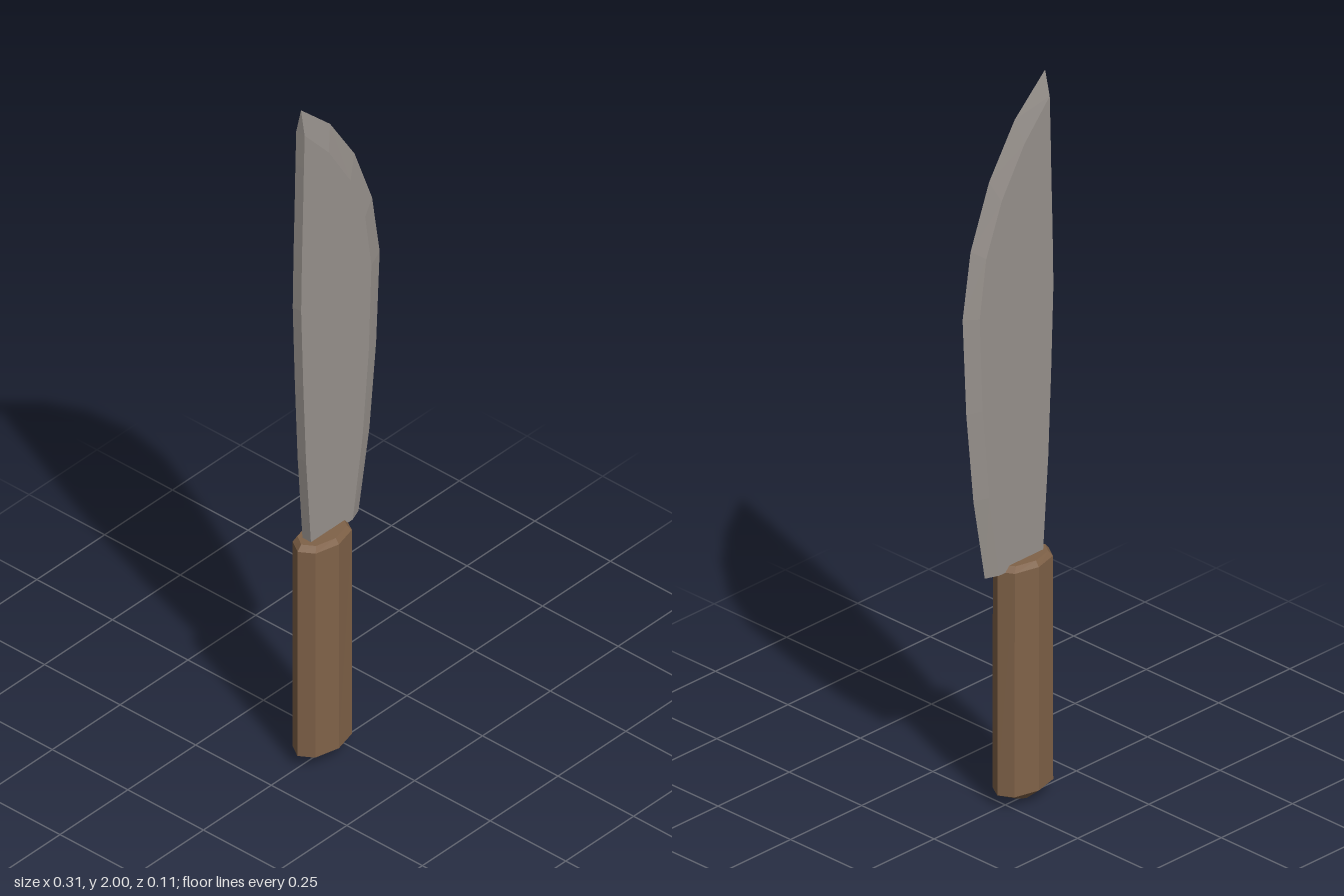
import * as THREE from 'three';

// Joins rings of [x, y, z] corners, listed from bottom to top, and caps both ends.
function loft(rings) {
  const n = rings[0].length;
  const index = [];
  for (let r = 0; r < rings.length - 1; r++) {
    for (let i = 0; i < n; i++) {
      const a = r * n + i;
      const b = r * n + (i + 1) % n;
      index.push(a, b, b + n, a, b + n, a + n);
    }
  }
  const top = (rings.length - 1) * n;
  for (let i = 1; i < n - 1; i++) {
    index.push(0, i + 1, i, top, top + i, top + i + 1);
  }
  const geometry = new THREE.BufferGeometry();
  geometry.setAttribute('position', new THREE.Float32BufferAttribute(rings.flat(2), 3));
  geometry.setIndex(index);
  const faceted = geometry.toNonIndexed();
  faceted.computeVertexNormals();
  return faceted;
}

export function createModel() {
  const steel = new THREE.MeshStandardMaterial({ color: 0x97918c });
  steel.name = 'steel grey';
  steel.flatShading = true;
  const wood = new THREE.MeshStandardMaterial({ color: 0x806248 });
  wood.name = 'wood brown';
  wood.flatShading = true;

  const model = new THREE.Group();
  model.name = 'knife';

  // Blade stations: spine, start of the bevel, cutting edge (x, y each)
  const stations = [
    [-0.115, 0.66, 0.038, 0.66, 0.075, 0.66],
    [-0.134, 0.93, 0.074, 0.89, 0.115, 0.89],
    [-0.144, 1.16, 0.097, 1.14, 0.14, 1.14],
    [-0.152, 1.4, 0.107, 1.4, 0.153, 1.41],
    [-0.149, 1.56, 0.084, 1.56, 0.125, 1.59],
    [-0.145, 1.7, 0.03, 1.7, 0.06, 1.76],
    [-0.142, 1.83, -0.05, 1.83, -0.03, 1.9],
    [-0.139, 1.93, -0.139, 1.93, -0.137, 2],
  ];
  const half = 0.014;
  const middle = -0.003;
  const blade = new THREE.Mesh(loft(stations.map(([sx, sy, bx, by, ex, ey]) => [
    [sx, sy, middle + half],
    [bx, by, middle + half],
    [ex, ey, middle],
    [bx, by, middle - half],
    [sx, sy, middle - half],
  ])), steel);
  blade.name = 'blade';
  model.add(blade);

  // Handle: eight-sided grip with a chamfered top and a tapered butt
  const section = [
    [-0.092, 0], [-0.068, 0.038], [0, 0.055], [0.068, 0.038],
    [0.09, 0], [0.068, -0.038], [0, -0.055], [-0.068, -0.038],
  ];
  const levels = [
    [0.005, 0.3, 0.22],
    [0.037, 1, 1],
    [0.66, 0.985, 1],
    [0.675, 0.84, 0.82],
  ];
  const handleRings = levels.map(([y, sx, sz]) =>
    section.map(([x, z]) => [-0.062 + x * sx, y, z * sz]));
  // The butt dips slightly along its middle
  for (const i of [2, 6]) handleRings[0][i][1] = 0;
  const handle = new THREE.Mesh(loft(handleRings), wood);
  handle.name = 'handle';
  model.add(handle);

  return model;
}
